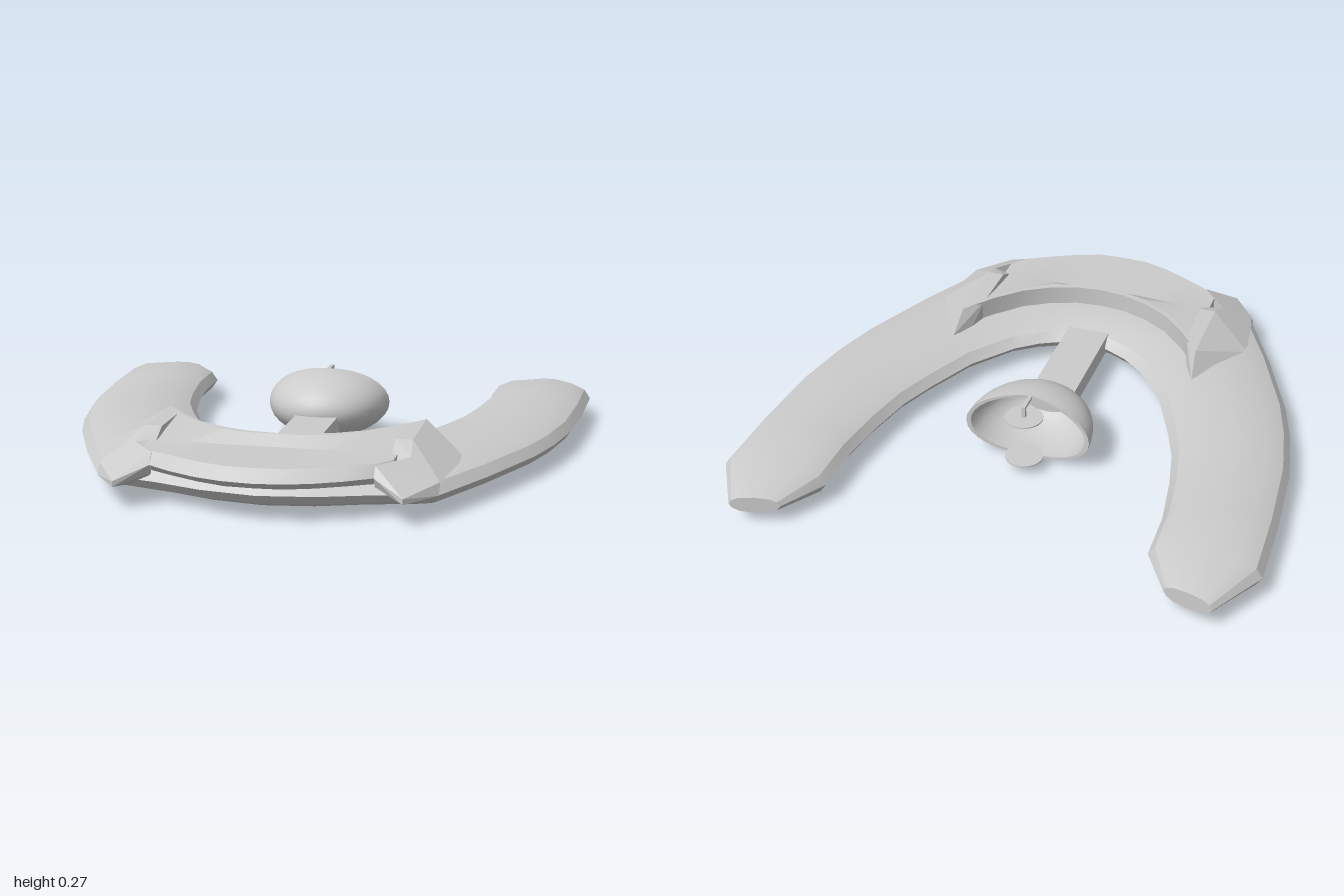
import * as THREE from 'three';
import { toCreasedNormals } from 'three/addons/utils/BufferGeometryUtils.js';
import { ConvexGeometry } from 'three/addons/geometries/ConvexGeometry.js';

const material = new THREE.MeshStandardMaterial({ color: 0xcccccc });
const thin = new THREE.MeshStandardMaterial({ color: 0xcccccc, side: THREE.DoubleSide });

// Skin a list of closed rings of [x, y, z] points and close both ends
function loft(rings, crease) {
  const n = rings[0].length, pos = rings.flat(2), idx = [];
  for (let i = 0; i < rings.length - 1; i++) {
    for (let j = 0; j < n; j++) {
      const k = (j + 1) % n, a = i * n + j, b = i * n + k;
      idx.push(a, a + n, b + n, a, b + n, b);
    }
  }
  const end = (rings.length - 1) * n;
  for (let j = 1; j < n - 1; j++) idx.push(0, j, j + 1, end, end + j + 1, end + j);
  const g = new THREE.BufferGeometry();
  g.setAttribute('position', new THREE.Float32BufferAttribute(pos, 3));
  g.setIndex(idx);
  return toCreasedNormals(g, crease);
}

// Stations run from the centre to +x; the other half is mirrored
const bothSides = (half, flip) => [...half.slice(1).reverse().map(flip), ...half];

// Horseshoe hull: outer and inner plan edges [x, z] from the centre to the tip
function hullGeometry() {
  const outer = [[0, .91], [.2, .88], [.38, .82], [.6, .77], [.735, .5], [.865, .2],
    [.92, .02], [.965, -.2], [.99, -.5], [1, -.78], [.88, -.99]];
  const inner = [[0, .4], [.09, .39], [.18, .345], [.26, .28], [.385, .12], [.476, -.08],
    [.53, -.22], [.565, -.38], [.595, -.58], [.6, -.78], [.7, -.945]];
  // [fraction of width, height above the middle]
  const profile = [[0, 0], [.06, .035], [.2, .06], [.5, .07], [.8, .06], [.94, .035],
    [1, 0], [.94, -.035], [.8, -.062], [.5, -.075], [.2, -.062], [.06, -.035]];
  const half = outer.map((o, i) => ({ o, n: inner[i], s: i === outer.length - 1 ? .47 : 1 }));
  const stations = bothSides(half, ({ o, n, s }) => ({ o: [-o[0], o[1]], n: [-n[0], n[1]], s }));
  return loft(stations.map(({ o, n, s }) => profile.map(([u, h]) => [
    o[0] + (n[0] - o[0]) * u, .09 + h * s, o[1] + (n[1] - o[1]) * u,
  ])), .45);
}

// Raised bridge plate: [x, back z, bend z, front z, lip z] from the centre outwards
function plateGeometry() {
  const half = [[0, .6, .66, .94, .99], [.1, .59, .66, .935, .98], [.2, .555, .66, .9, .95],
    [.3, .495, .65, .85, .9], [.39, .405, .64, .8, .84], [.44, .34, .63, .74, .77]];
  return loft(bothSides(half, ([x, ...z]) => [-x, ...z]).map(([x, back, bend, front, lip]) => [
    [x, .155, lip], [x, .195, front], [x, .195, bend], [x, .23, Math.min(bend - .05, back + .03)],
    [x, .23, back], [x, .13, back], [x, .12, front - .05], [x, .125, front],
  ]), .4);
}

// Open oval bowl facing the rear, its rim swept back toward the sides
function dishGeometry() {
  const pts = [], steps = 10;
  for (let i = 0; i <= steps; i++) {
    const a = i / steps * Math.PI / 2;
    pts.push(new THREE.Vector2(Math.sin(a), Math.cos(a)));
  }
  for (let i = steps; i >= 0; i--) {
    const a = i / steps * Math.PI / 2;
    pts.push(new THREE.Vector2(.93 * Math.sin(a), .92 * Math.cos(a)));
  }
  const g = new THREE.LatheGeometry(pts, 32);
  g.rotateX(Math.PI / 2);
  const p = g.attributes.position;
  for (let i = 0; i < p.count; i++) {
    const x = p.getX(i) * .24, d = p.getZ(i);
    p.setXYZ(i, x, .143 + p.getY(i) * .135, -.27 + .24 * d - .17 * Math.abs(x) * (1 - d));
  }
  return toCreasedNormals(g, .6);
}

export function createModel() {
  const model = new THREE.Group();
  const add = (name, geometry, x = 0, y = 0, z = 0, mat = material) => {
    const mesh = new THREE.Mesh(geometry, mat);
    mesh.name = name;
    mesh.position.set(x, y, z);
    model.add(mesh);
  };

  add('horseshoeHull', hullGeometry());
  add('bridgePlate', plateGeometry());

  // Sloping shoulders with a pointed tail, and the prongs at the front
  const shoulder = [[.48, .23, .285], [.42, .23, .375], [.42, .23, .59], [.48, .23, .59],
    [.49, .195, .685], [.42, .195, .66], [.6, .13, .75], [.645, .145, .47], [.565, .15, .33],
    [.49, .155, .2], [.445, .15, .29], [.42, .12, .375], [.42, .12, .7]];
  const prong = [[.49, .195, .685], [.39, .19, .81], [.39, .155, .84], [.5, .11, .91],
    [.6, .13, .75], [.39, .12, .82], [.5, .09, .91], [.6, .09, .775], [.45, .06, .72]];
  for (const [side, s] of [['left', 1], ['right', -1]]) {
    for (const [part, points] of [['Shoulder', shoulder], ['Prong', prong]]) {
      add(side + part, new ConvexGeometry(points.map(([x, y, z]) => new THREE.Vector3(s * x, y, z))));
    }
  }

  // Spine carrying the dish
  add('spine', new THREE.BoxGeometry(.166, .07, .52), 0, .1, .18);
  add('dish', dishGeometry(), 0, 0, 0, thin);

  // Two small discs hung from arms at the top and bottom of the rim
  for (const [name, s] of [['upper', 1], ['lower', -1]]) {
    add(name + 'Arm', new THREE.BoxGeometry(.014, .012, .09), 0, .143 + s * .128, -.305);
    add(name + 'Post', new THREE.BoxGeometry(.014, .045, .014), 0, .143 + s * .108, -.343);
    add(name + 'Disc', new THREE.CylinderGeometry(.071, .071, .005, 32), 0, .143 + s * .087, -.343);
  }
  return model;
}
